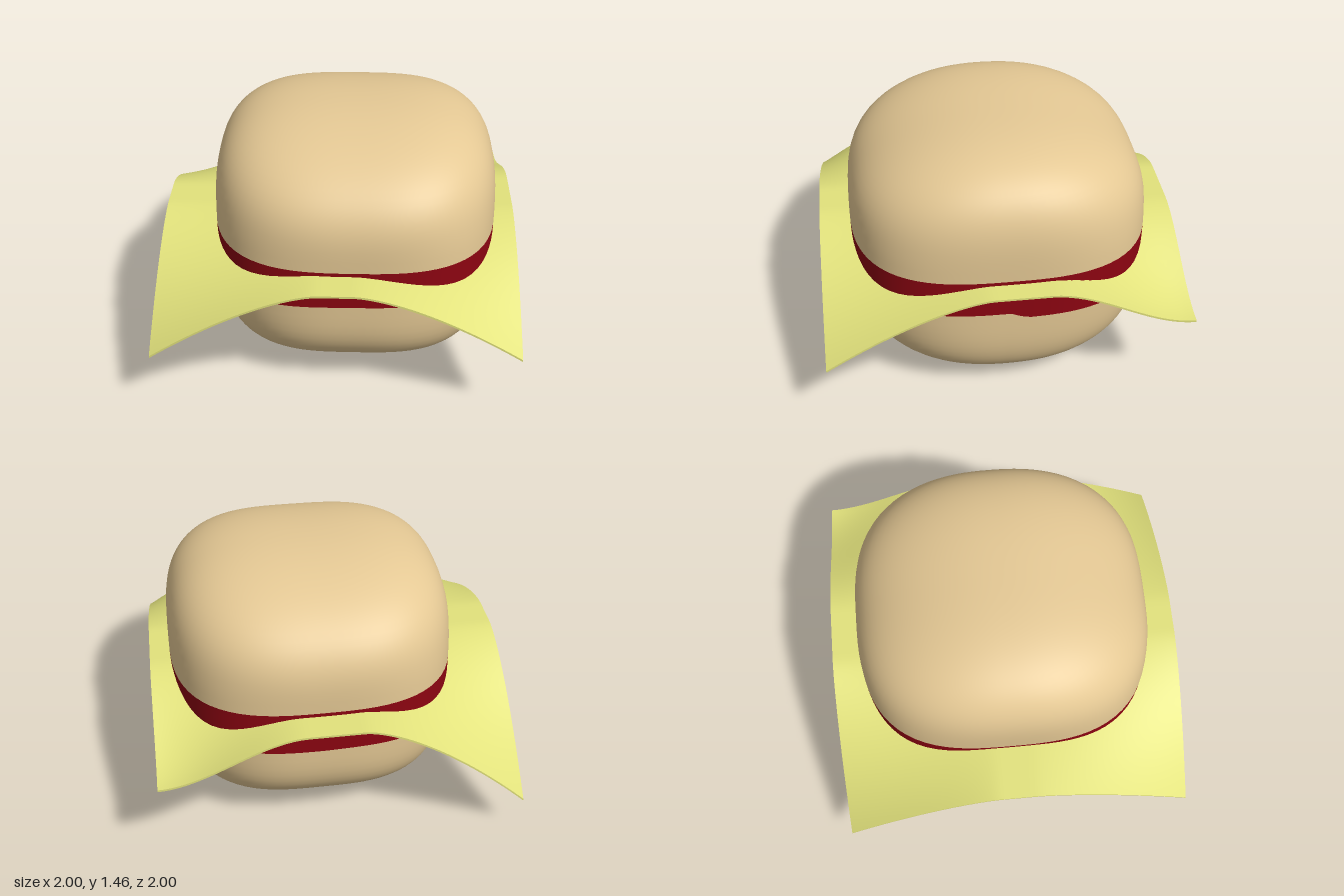
import * as THREE from 'three';

const SIDES = 96;
const HALF = { x: 0.797, y: 0.58, z: 0.833 };
const MID = { x: 0.09, y: 0.74, z: -0.006 };
const WALL = 0.15; // half height of the straight wall

// Soft box: squarish across x/y, rounder along z. Returns the radius at angle a, height y.
function bodyRadius(a, y) {
  const v = THREE.MathUtils.clamp((Math.abs(y - MID.y) - WALL) / HALF.y, 0, 1);
  if (v === 1) return 0;
  const n = 2.9 - 0.7 * v;
  const cx = Math.abs(Math.cos(a)) / HALF.x, cz = Math.abs(Math.sin(a)) / HALF.z;
  let lo = 0, hi = 1.6;
  for (let i = 0; i < 30; i++) {
    const r = (lo + hi) / 2;
    const f = Math.pow((r * cx) ** 3.3 + v ** 3.3, n / 3.3) + Math.pow(r * cz, n);
    if (f < 1) lo = r; else hi = r;
  }
  return lo;
}

// Rings from bottom to top; each row is [height at angle, radius scale].
function ringBody(rows) {
  const pos = [], index = [];
  rows.forEach(([height, scale], i) => {
    for (let j = 0; j < SIDES; j++) {
      const a = (j / SIDES) * Math.PI * 2;
      const y = height(a), r = bodyRadius(a, y) * scale;
      pos.push(MID.x + r * Math.cos(a), y, MID.z + r * Math.sin(a));
      if (i === rows.length - 1) continue;
      const p = i * SIDES + j, q = i * SIDES + (j + 1) % SIDES;
      index.push(p, p + SIDES, q, q, p + SIDES, q + SIDES);
    }
  });
  const g = new THREE.BufferGeometry();
  g.setAttribute('position', new THREE.Float32BufferAttribute(pos, 3));
  g.setIndex(index);
  g.computeVertexNormals();
  return g;
}

// Uneven seam between patty and lower bun
function seam(a) {
  const right = Math.max(0, -Math.cos(a)), back = Math.max(0, -Math.sin(a));
  return 0.63 - 0.085 * right ** 2 - 0.035 * Math.min(1, back * 10) * (1 - right);
}
const SPLIT = 0.855;
const split = () => SPLIT;

// Rows running from an edge to the pole, packed towards the pole
function domeRows(edge, pole, count) {
  const rows = [];
  for (let i = 0; i <= count; i++) {
    const t = 1 - Math.pow(1 - i / count, 4);
    rows.push([(a) => THREE.MathUtils.lerp(edge(a), pole, t), 1]);
  }
  return rows;
}

// Cheese: a thin square slab whose corners sag by different amounts
function cheeseGeometry() {
  const g = new THREE.BoxGeometry(2, 0.012, 2, 64, 1, 64);
  const p = g.attributes.position;
  const ramp = (c, start) => Math.max(0, (Math.abs(c) - start) / (1 - start));
  for (let i = 0; i < p.count; i++) {
    const x = p.getX(i), z = p.getZ(i);
    let sag = Math.pow(ramp(x, 0.1) * ramp(z, 0.1), 1.5);
    let drop = x > 0 ? 0.4 : 0.42;
    if (z < 0) drop = x > 0 ? 0.26 : 0.59;
    // the back left corner levels out instead of hanging
    if (x > 0 && z < 0) {
      const u = ramp(x, 0.2), v = ramp(z, 0.2);
      sag = u * u * (3 - 2 * u) * v * v * (3 - 2 * v);
    }
    p.setY(i, p.getY(i) + 0.828 - drop * sag);
  }
  g.computeVertexNormals();
  return g;
}

export function createModel() {
  const group = new THREE.Group();
  const bun = new THREE.MeshStandardMaterial({ color: 0xe4c894 });
  const meat = new THREE.MeshStandardMaterial({ color: 0x8c0411 });
  const cheese = new THREE.MeshStandardMaterial({ color: 0xe2e27c });
  const add = (name, geometry, material) => {
    const mesh = new THREE.Mesh(geometry, material);
    mesh.name = name;
    group.add(mesh);
  };

  // Buns: dome plus flat cut face
  add('topBun', ringBody([[split, 0], [split, 1], ...domeRows(split, 1.47, 36)]), bun);
  add('bottomBun', ringBody([...domeRows(seam, 0.01, 36).reverse(), [seam, 1], [seam, 0]]), bun);

  // Patty between the buns
  const pattyRows = [[seam, 0], [seam, 1]];
  for (let i = 0; i <= 6; i++) {
    pattyRows.push([(a) => THREE.MathUtils.lerp(seam(a), SPLIT, i / 6), 1]);
  }
  pattyRows.push([split, 1], [split, 0]);
  add('patty', ringBody(pattyRows), meat);

  add('cheeseSlice', cheeseGeometry(), cheese);
  return group;
}
